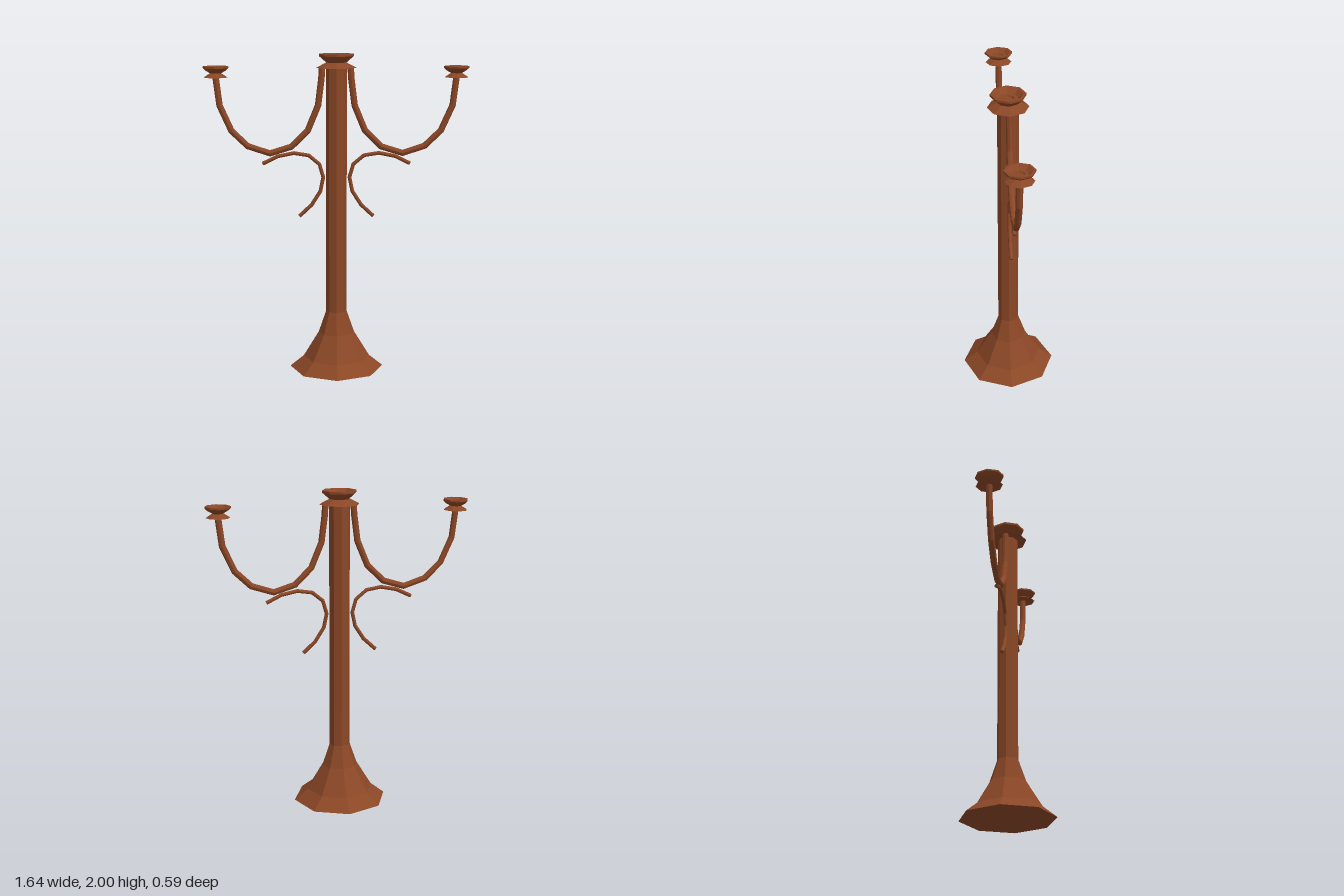
import * as THREE from 'three';

const bronze = new THREE.MeshStandardMaterial({ color: 0x8b4726, flatShading: true });
bronze.name = 'bronze brown';

function part(name, geometry) {
  const mesh = new THREE.Mesh(geometry, bronze);
  mesh.name = name;
  return mesh;
}

// Eight-sided turned part; profile runs from the bottom axis to the top axis
function turned(name, profile) {
  return part(name, new THREE.LatheGeometry(profile.map(([r, y]) => new THREE.Vector2(r, y)), 8));
}

// Capped rod swept along a bent path lying in the xy plane
function rod(name, path, radius, sides = 8) {
  const positions = [], index = [];
  const last = path.length - 1;
  path.forEach(([x, y], i) => {
    const a = path[Math.max(i - 1, 0)], b = path[Math.min(i + 1, last)];
    const dx = b[0] - a[0], dy = b[1] - a[1], len = Math.hypot(dx, dy);
    for (let j = 0; j < sides; j++) {
      const t = (j / sides) * Math.PI * 2, n = Math.cos(t) * radius;
      positions.push(x - (dy / len) * n, y + (dx / len) * n, Math.sin(t) * radius);
      if (i === last) continue;
      const p = i * sides + j, q = i * sides + (j + 1) % sides;
      index.push(p, q, p + sides, q, q + sides, p + sides);
    }
  });
  for (let j = 1; j < sides - 1; j++) {
    index.push(0, j + 1, j);
    const e = last * sides;
    index.push(e, e + j, e + j + 1);
  }
  const g = new THREE.BufferGeometry();
  g.setAttribute('position', new THREE.Float32BufferAttribute(positions, 3));
  g.setIndex(index);
  g.computeVertexNormals();
  return part(name, g);
}

// Flared drip collar with a shallow cup above it
function candleHolder(name, collarR, cupR, neckR, height) {
  const g = new THREE.Group();
  g.name = name;
  const h = height;
  g.add(turned('dripCollar', [[0, 0], [collarR, 0], [neckR, 0.4 * h], [0, 0.4 * h]]));
  g.add(turned('candleCup', [
    [0, 0.36 * h], [neckR, 0.36 * h], [cupR * 0.8, 0.62 * h], [cupR, 0.84 * h], [cupR, h],
    [cupR * 0.85, h], [cupR * 0.56, 0.68 * h], [cupR * 0.34, 0.68 * h], [cupR * 0.3, 0.55 * h], [0, 0.55 * h],
  ]));
  return g;
}

export function createModel() {
  const model = new THREE.Group();
  model.name = 'candelabra';

  // Flared foot and central shaft
  model.add(turned('foot', [[0, 0], [0.297, 0], [0.21, 0.07], [0.113, 0.23], [0.065, 0.37], [0, 0.37]]));
  model.add(turned('shaft', [[0, 0.36], [0.065, 0.36], [0.065, 1.93], [0, 1.93]]));

  const top = candleHolder('centreHolder', 0.125, 0.107, 0.06, 0.085);
  top.position.y = 1.915;
  model.add(top);

  // Curved arms, scrolls and outer holders on both sides
  const arm = [[0.088, 1.92], [0.092, 1.85], [0.113, 1.685], [0.177, 1.53], [0.28, 1.428], [0.413, 1.387],
    [0.55, 1.432], [0.65, 1.528], [0.72, 1.685], [0.742, 1.87]];
  const scroll = [[0.46, 1.322], [0.365, 1.368], [0.265, 1.388], [0.172, 1.373], [0.106, 1.318],
    [0.082, 1.235], [0.1, 1.147], [0.155, 1.06], [0.232, 0.988]];
  for (const [side, s] of [['left', 1], ['right', -1]]) {
    const mirror = ([x, y]) => [x * s, y];
    model.add(rod(side + 'Arm', arm.map(mirror), 0.02));
    model.add(rod(side + 'Scroll', scroll.map(mirror), 0.012));
    const holder = candleHolder(side + 'Holder', 0.083, 0.088, 0.036, 0.068);
    holder.position.set(0.74 * s, 1.857, 0);
    holder.scale.x = 0.89;
    model.add(holder);
  }
  return model;
}
